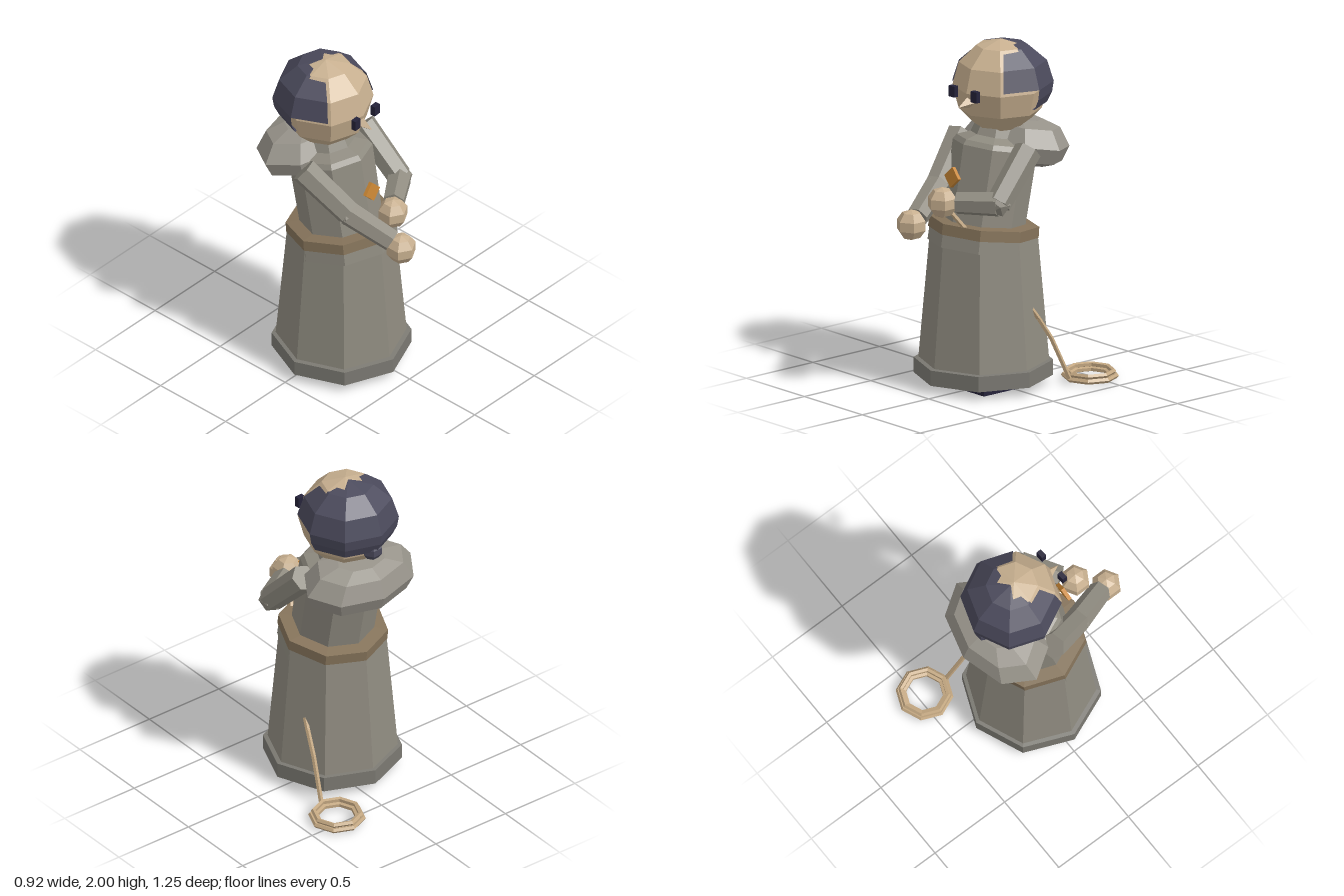
import * as THREE from 'three';

const paint = (color, side = THREE.FrontSide) =>
  new THREE.MeshStandardMaterial({ color, side, flatShading: true });
const robe = paint(0x8f8b80), hemCloth = paint(0x7b7972), hoodCloth = paint(0x97938a);
const skin = paint(0xc8b090), hairMat = paint(0x4b4a5c, THREE.DoubleSide);
const dark = paint(0x25233a), leather = paint(0x85735a), ropeMat = paint(0xc4a882), amber = paint(0xc98634);
const V = (x, y, z) => new THREE.Vector3(x, y, z);

export function createModel() {
  const model = new THREE.Group();

  function add(name, geo, mat, pos = [0, 0, 0], parent = model) {
    const mesh = new THREE.Mesh(geo, mat);
    mesh.name = name;
    mesh.position.set(...pos);
    parent.add(mesh);
    return mesh;
  }
  // Eight-sided turned shape, profile from bottom to top as [radius, height]
  const turned = pts => new THREE.LatheGeometry(pts.map(p => new THREE.Vector2(...p)), 8);

  // Straight limb or rope piece between two points
  function rod(name, a, b, ra, rb, sides, mat) {
    const dir = b.clone().sub(a);
    const mesh = add(name, new THREE.CylinderGeometry(rb, ra, dir.length(), sides), mat);
    mesh.position.copy(a).addScaledVector(dir, 0.5);
    mesh.quaternion.setFromUnitVectors(V(0, 1, 0), dir.normalize());
    return mesh;
  }

  // Shoes
  for (const x of [-0.203, 0.078])
    add('shoe', new THREE.BoxGeometry(0.185, 0.07, 0.3), dark, [x, 0.035, 0.083]);

  // Skirt and hem
  add('hem', turned([[0, 0.05], [0.397, 0.05], [0.397, 0.14], [0.36, 0.145]]), hemCloth, [-0.063, 0, 0.034]);
  add('skirt', turned([[0.373, 0.13], [0.307, 0.88], [0, 0.88]]), robe, [-0.063, 0, 0.031]);

  // Waist leaning slightly back
  const waist = new THREE.Group();
  waist.name = 'waist';
  waist.position.set(-0.063, 0.92, 0.03);
  waist.rotation.x = -0.13;
  model.add(waist);
  add('waistband', turned([[0, -0.11], [0.311, -0.11], [0.306, 0.02], [0, 0.02]]), robe, [0, 0, 0], waist);
  add('belt', turned([[0.29, -0.035], [0.316, -0.035], [0.314, 0.028], [0.23, 0.035]]), leather, [0, 0, 0], waist);

  // Torso with sloping collar
  const torso = add('torso',
    turned([[0.236, 0], [0.243, 0.47], [0.225, 0.5], [0.15, 0.53], [0.12, 0.62]]), robe, [-0.063, 0.92, 0.035]);
  torso.rotation.x = -0.19;

  // Folded hood behind the shoulders
  const hood = add('hood',
    turned([[0, -0.12], [0.24, -0.12], [0.33, -0.09], [0.37, 0.0], [0.29, 0.1], [0.16, 0.13], [0, 0.13]]),
    hoodCloth, [-0.06, 1.395, -0.215]);
  hood.scale.z = 0.65;
  hood.rotation.x = -0.14;

  // Head
  const head = new THREE.Group();
  head.name = 'head';
  head.position.set(-0.06, 1.73, -0.09);
  head.rotation.y = 0.07;
  model.add(head);
  add('face', new THREE.SphereGeometry(0.272, 8, 6), skin, [0, 0, 0], head);
  for (const x of [-0.088, 0.088])
    add('eye', new THREE.BoxGeometry(0.046, 0.064, 0.03), dark, [x, 0.003, 0.288], head);
  const nose = add('nose', new THREE.ConeGeometry(0.042, 0.1, 4), skin, [0, -0.06, 0.287], head);
  nose.rotation.x = Math.PI / 2 + 0.2;

  // Hair: crown open at the face, longer fringe at the back, bun
  const hair = new THREE.Group();
  hair.name = 'hair';
  hair.position.set(0, 0.02, -0.022);
  hair.scale.set(0.292, 0.246, 0.285);
  head.add(hair);
  const PI = Math.PI;
  add('crownHair', new THREE.SphereGeometry(1, 6, 3, 0.75 * PI, 1.5 * PI, 0, PI / 2), hairMat, [0, 0, 0], hair);
  add('backHair', new THREE.SphereGeometry(1, 4, 1, PI, PI, PI / 2, PI / 6), hairMat, [0, 0, 0], hair);
  // Flat underside closing the gap between hair and head
  for (const [y, inner, outer, start, len, n] of [[0, 0.8, 1, -PI / 4, 1.5 * PI, 6], [-0.5, 0.6, 0.866, 0, PI, 4]]) {
    const rim = add('hairRim', new THREE.RingGeometry(inner, outer, n, 1, start, len), hairMat, [0, y, 0], hair);
    rim.rotation.x = -PI / 2;
  }
  add('bun', new THREE.SphereGeometry(0.062, 6, 5), hairMat, [0, -0.11, -0.225], head);

  // Arms: shoulder, elbow, wrist, hand
  const arms = {
    right: [V(-0.325, 1.40, -0.02), V(-0.225, 1.17, 0.235), V(-0.125, 1.04, 0.48), V(-0.11, 1.01, 0.535)],
    left: [V(0.215, 1.41, -0.06), V(0.25, 1.145, 0.195), V(0.05, 1.135, 0.33), V(-0.015, 1.135, 0.385)],
  };
  for (const [side, [shoulder, elbow, wrist, hand]] of Object.entries(arms)) {
    rod(side + 'UpperArm', shoulder, elbow, 0.08, 0.074, 6, robe);
    rod(side + 'Forearm', elbow, wrist, 0.074, 0.066, 6, robe);
    add(side + 'Elbow', new THREE.IcosahedronGeometry(0.075, 0), robe, elbow.toArray());
    const fist = add(side + 'Hand', new THREE.SphereGeometry(0.09, 6, 5), skin, hand.toArray());
    fist.rotation.y = PI / 6;
  }

  // Diamond brooch
  const brooch = add('brooch', new THREE.BoxGeometry(0.085, 0.085, 0.022), amber, [-0.063, 1.25, 0.265]);
  brooch.rotation.set(-0.13, 0, PI / 4);

  // Rope from the hand, under the robe, to the coil on the ground
  const line = [V(0, 1.09, 0.35), V(0.05, 0.97, 0.265), V(0.19, 0.62, 0.02), V(0.235, 0.41, -0.12),
    V(0.255, 0.28, -0.2), V(0.285, 0.03, -0.31)];
  for (let i = 1; i < line.length; i++) rod('rope', line[i - 1], line[i], 0.014, 0.014, 5, ropeMat);
  for (const [r, y] of [[0.15, 0.024], [0.135, 0.05], [0.118, 0.026]]) {
    const loop = add('ropeCoil', new THREE.TorusGeometry(r, 0.015, 5, 8), ropeMat, [0.29, y, -0.46]);
    loop.rotation.x = PI / 2;
  }
  return model;
}
